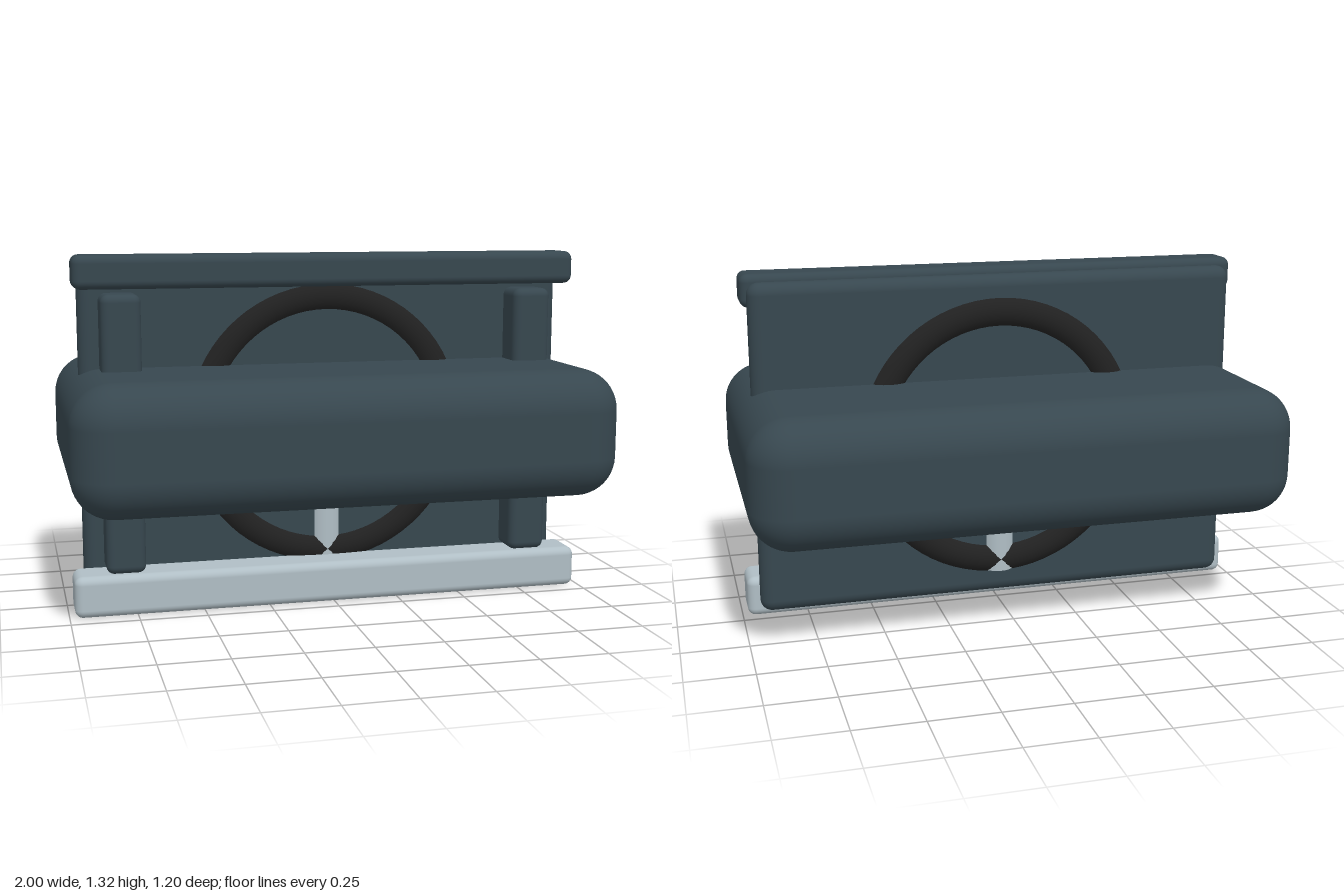
import * as THREE from 'three';
import { RoundedBoxGeometry } from 'three/addons/geometries/RoundedBoxGeometry.js';

const slate = new THREE.MeshStandardMaterial({ color: 0x37474f });
const pale = new THREE.MeshStandardMaterial({ color: 0xb0bec5 });
const black = new THREE.MeshStandardMaterial({ color: 0x212121 });

export function createModel() {
  const model = new THREE.Group();
  model.name = 'model';

  const add = (name, geometry, material, x, y, z) => {
    const mesh = new THREE.Mesh(geometry, material);
    mesh.name = name;
    mesh.position.set(x, y, z);
    model.add(mesh);
    return mesh;
  };

  // Rounded box given by its half width and its y and z ranges
  const slab = (name, material, halfW, [y0, y1], [z0, z1], radius, x = 0, segments = 4) =>
    add(name, new RoundedBoxGeometry(halfW * 2, y1 - y0, z1 - z0, segments, radius),
      material, x, (y0 + y1) / 2, (z0 + z1) / 2);

  // Large cushioned body and the upright panel through it
  slab('body', slate, 1, [0.43, 0.905], [-0.6, 0.6], 0.15, 0, 6);
  slab('panel', slate, 0.935, [0.035, 1.295], [-0.045, 0.05], 0.045);

  // Rails along the top and bottom of the panel
  slab('topRail', slate, 0.957, [1.2, 1.323], [0.006, 0.16], 0.03);
  slab('bottomRail', pale, 0.98, [0, 0.155], [0.026, 0.197], 0.03);

  // Posts joining the rails
  for (const [name, side] of [['leftPost', 1], ['rightPost', -1]]) {
    slab(name, slate, 0.073, [0.152, 1.183], [0.02, 0.173], 0.03, side * 0.787);
  }

  // Ring and its lower spoke, both half sunk in the panel
  add('ring', new THREE.TorusGeometry(0.49, 0.07, 20, 72), black, 0, 0.667, 0);
  add('spoke', new THREE.CylinderGeometry(0.07, 0.07, 0.54, 24), pale, 0, 0.4, 0);

  return model;
}
